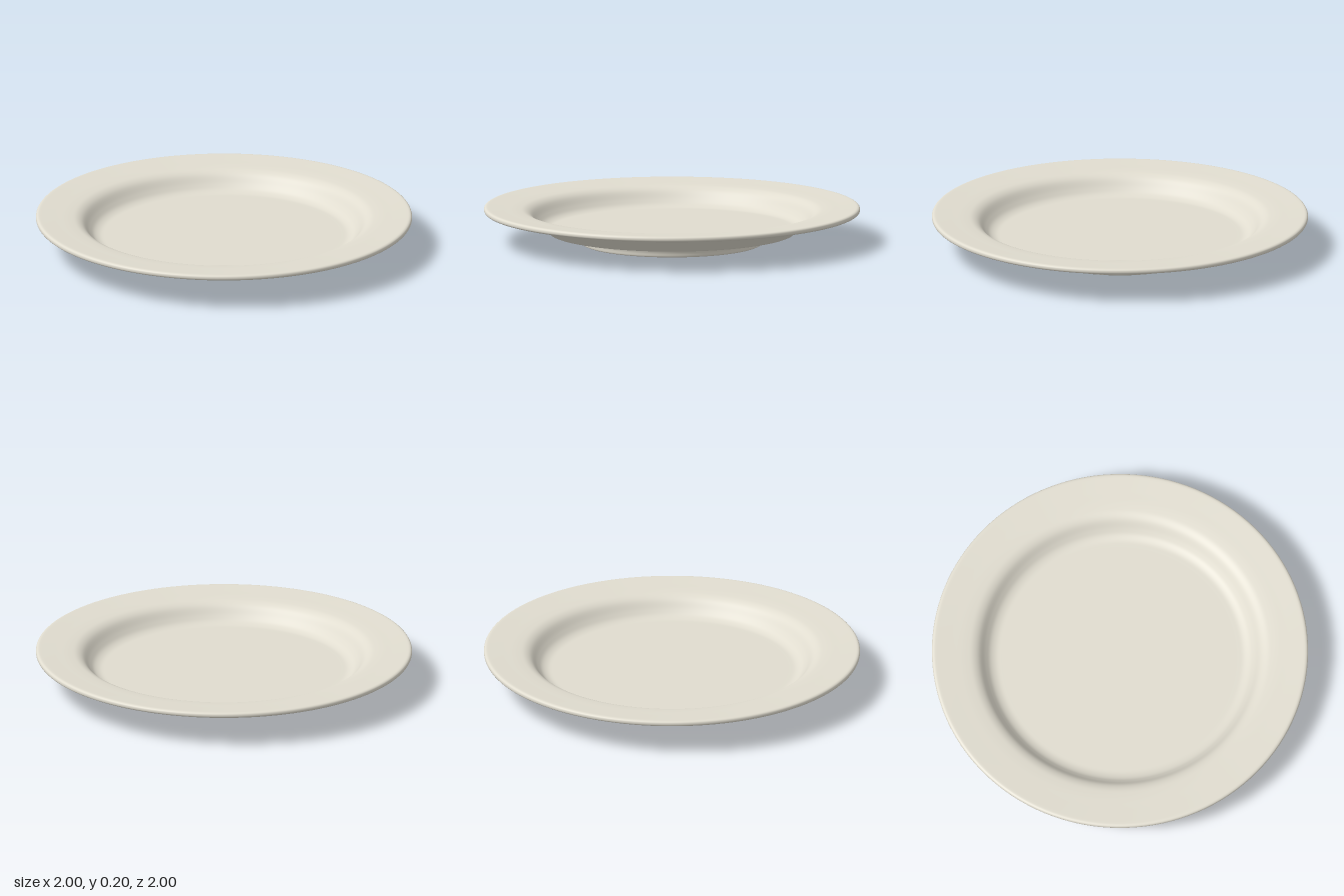
import * as THREE from 'three';

const SEGMENTS = 128;

// Smooth curve through [radius, height] pairs
function smooth(pairs, steps) {
  const pts = pairs.map(([r, y]) => new THREE.Vector3(r, y, 0));
  return new THREE.CatmullRomCurve3(pts, false, 'centripetal')
    .getPoints(steps).map((p) => new THREE.Vector2(Math.max(p.x, 0), p.y));
}

export function createModel() {
  const group = new THREE.Group();
  group.name = 'plate';
  const glaze = new THREE.MeshStandardMaterial({ color: 0xe0dccf });
  glaze.name = 'cream glaze';

  const addPart = (name, profile) => {
    const mesh = new THREE.Mesh(new THREE.LatheGeometry(profile, SEGMENTS), glaze);
    mesh.name = name;
    group.add(mesh);
  };

  // Recessed base and foot ring, from the centre out to the flat underside
  addPart('footRing', [
    ...smooth([[0, 0.045], [0.38, 0.045], [0.405, 0.04], [0.42, 0.025], [0.432, 0.004], [0.44, 0]], 30),
    ...smooth([[0.475, 0], [0.482, 0.004], [0.486, 0.025], [0.495, 0.043], [0.52, 0.052], [0.56, 0.055]], 24),
  ]);

  // Flat underside, sloping wall and underside of the rim
  addPart('underside', [
    new THREE.Vector2(0.56, 0.055),
    new THREE.Vector2(0.64, 0.059),
    ...smooth([[0.655, 0.061], [0.69, 0.089], [0.74, 0.13], [0.76, 0.142], [0.8, 0.152], [0.88, 0.158], [0.97, 0.164]], 30),
  ]);

  // Rounded lip, rim top, curved wall of the well and flat floor
  addPart('rimAndWell', [
    ...smooth([[0.97, 0.164], [0.988, 0.166], [0.998, 0.172], [1, 0.181], [0.997, 0.19], [0.988, 0.195], [0.97, 0.195]], 24),
    ...smooth([[0.9, 0.19], [0.82, 0.184], [0.78, 0.177], [0.75, 0.16], [0.715, 0.118], [0.69, 0.094], [0.66, 0.082], [0.62, 0.08]], 36),
    new THREE.Vector2(0.5, 0.08),
    new THREE.Vector2(0, 0.08),
  ]);

  return group;
}
